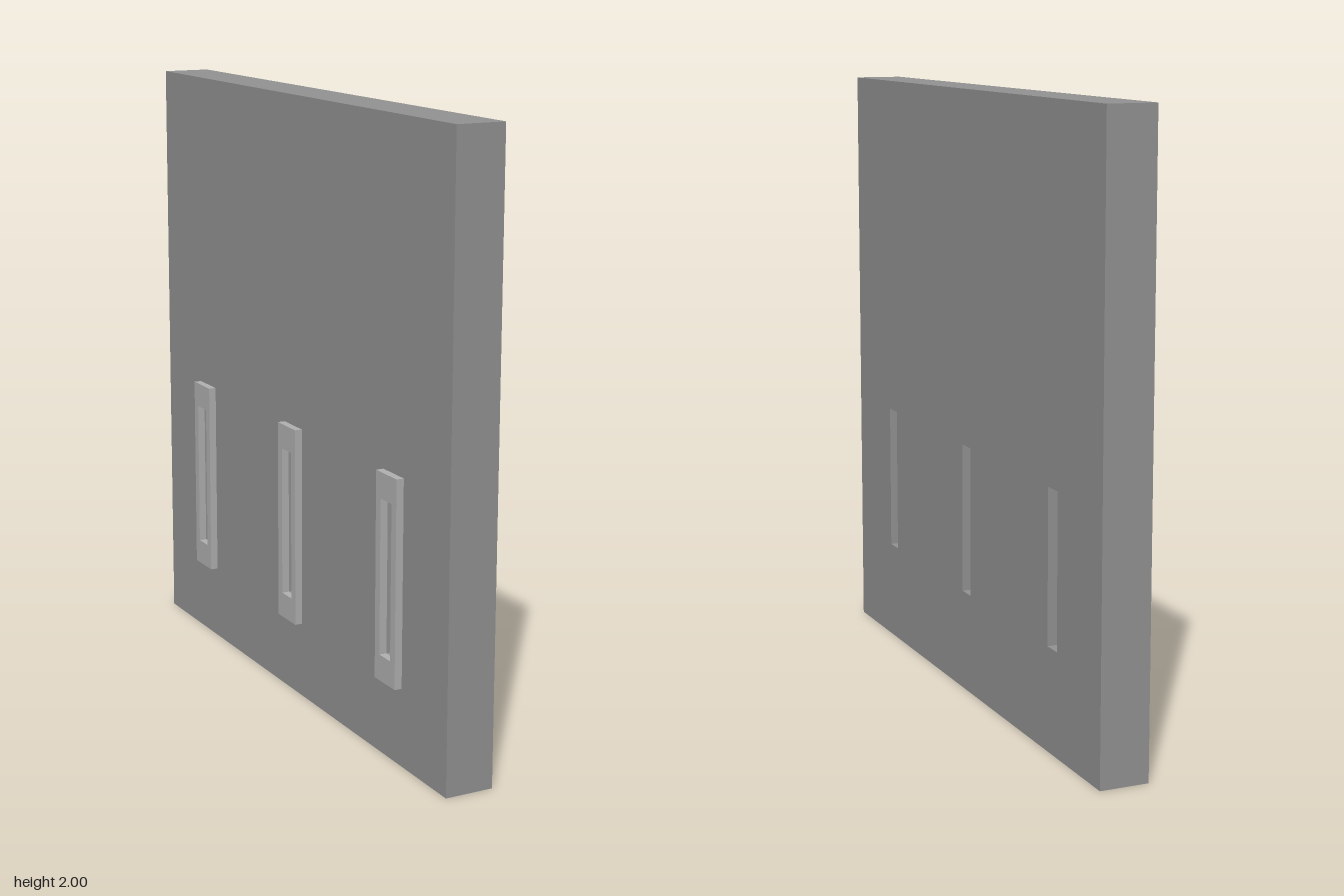
import * as THREE from 'three';

const panelMaterial = new THREE.MeshStandardMaterial({ color: 0x939393 });
const frameMaterial = new THREE.MeshStandardMaterial({ color: 0xb1b1b1 });
const slot = { width: 0.067, height: 0.5, y: 0.587 };
const slotPositions = [-0.667, 0, 0.667];

// Corner points of an upright rectangle, centred on (cx, cy)
function rectangle(cx, cy, w, h) {
  return [[-1, -1], [1, -1], [1, 1], [-1, 1]].map(
    ([sx, sy]) => new THREE.Vector2(cx + sx * w / 2, cy + sy * h / 2));
}

// Upright plate in the z-y plane with slots cut through, from x = x0 to x1
function slottedPlate(name, material, outline, slots, x0, x1) {
  const shape = new THREE.Shape(outline);
  for (const z of slots) {
    shape.holes.push(new THREE.Path(rectangle(z, slot.y, slot.width, slot.height)));
  }
  const geometry = new THREE.ExtrudeGeometry(shape, { depth: x1 - x0, bevelEnabled: false });
  geometry.rotateY(-Math.PI / 2).translate(x1, 0, 0);
  const mesh = new THREE.Mesh(geometry, material);
  mesh.name = name;
  return mesh;
}

export function createModel() {
  const group = new THREE.Group();
  group.name = 'slottedPanel';

  // Square panel with three upright slots
  group.add(slottedPlate('panel', panelMaterial, rectangle(0, 1, 2, 2), slotPositions, -0.068, 0.093));

  // Lighter raised frame around each slot on the -x side
  slotPositions.forEach((z, i) => {
    const outline = rectangle(z, slot.y, 0.125, 0.667);
    group.add(slottedPlate(`slotFrame${i + 1}`, frameMaterial, outline, [z], -0.093, -0.068));
  });
  return group;
}
